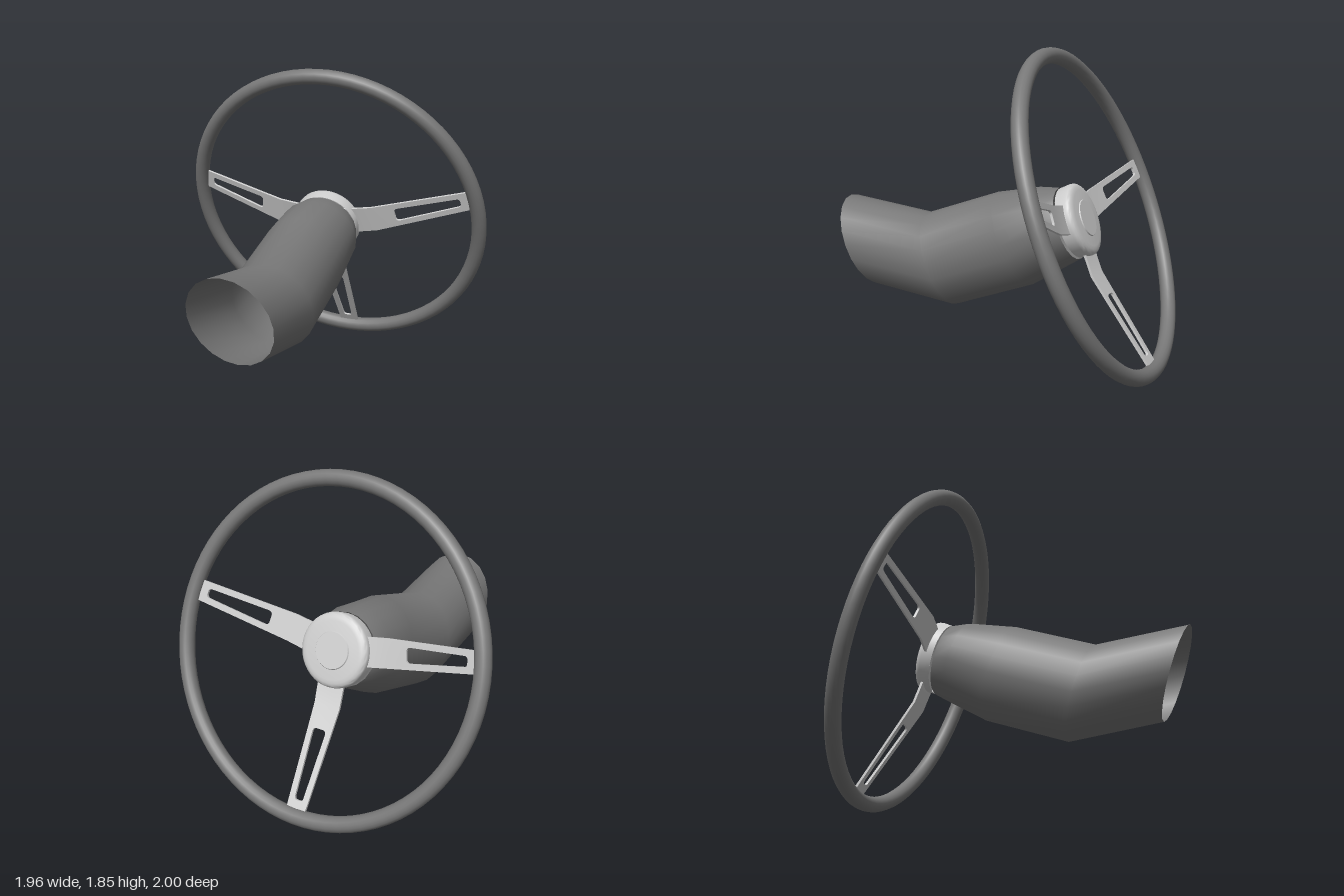
import * as THREE from 'three';
import { mergeGeometries, toCreasedNormals } from 'three/addons/utils/BufferGeometryUtils.js';

const TILT = 0.351;
const DARK = new THREE.MeshStandardMaterial({ color: 0x777777, side: THREE.DoubleSide });
const LIGHT = new THREE.MeshStandardMaterial({ color: 0xcccccc, side: THREE.DoubleSide });

function addPart(parent, name, geometry, material) {
  const mesh = new THREE.Mesh(geometry, material);
  mesh.name = name;
  parent.add(mesh);
  return mesh;
}

// Open tube lofted through elliptical rings: [top z, top y, bottom z, bottom y, half width]
function columnGeometry() {
  const rings = [
    [1.0, 0.935, 0.8, 0.395, 0.25],
    [0.46, 0.86, 0.26, 0.315, 0.25],
    [0.0, 1.015, -0.22, 0.48, 0.25],
    [-0.26, 1.06, -0.44, 0.614, 0.245],
    [-0.375, 1.06, -0.515, 0.66, 0.212],
  ];
  const sides = 20, pos = [], index = [];
  rings.forEach(([tz, ty, bz, by, hw], r) => {
    for (let i = 0; i < sides; i++) {
      const a = (i / sides) * Math.PI * 2, c = Math.cos(a);
      pos.push(hw * Math.sin(a), (ty + by) / 2 + (c * (ty - by)) / 2, (tz + bz) / 2 + (c * (tz - bz)) / 2);
      if (r === 0) continue;
      const j = (i + 1) % sides, p = (r - 1) * sides, q = r * sides;
      index.push(p + i, p + j, q + i, p + j, q + j, q + i);
    }
  });
  const g = new THREE.BufferGeometry();
  g.setAttribute('position', new THREE.Float32BufferAttribute(pos, 3));
  g.setIndex(index);
  g.computeVertexNormals();
  return g;
}

// Slotted spoke along +x: a flat root under the hub, then a blade rising to the rim
function spokeGeometry() {
  const bend = 0.32, low = -0.15, end = 0.91, slope = 0.247;
  const plate = (pts) => new THREE.Shape(pts.map(([x, y]) => new THREE.Vector2(x, y)));
  const root = plate([[0.08, -0.085], [bend, -0.082], [bend, 0.082], [0.08, 0.085]]);
  const blade = plate([[bend, -0.082], [end, -0.06], [end, 0.06], [bend, 0.082]]);

  // Slot with rounded corners, narrowing towards the rim
  const slot = new THREE.Path();
  slot.moveTo(0.475, -0.042);
  slot.lineTo(0.825, -0.028);
  slot.quadraticCurveTo(0.845, -0.027, 0.845, -0.01);
  slot.lineTo(0.845, 0.01);
  slot.quadraticCurveTo(0.845, 0.027, 0.825, 0.028);
  slot.lineTo(0.475, 0.042);
  slot.quadraticCurveTo(0.45, 0.042, 0.45, 0.02);
  slot.lineTo(0.45, -0.02);
  slot.quadraticCurveTo(0.45, -0.042, 0.475, -0.042);
  blade.holes.push(slot);

  const parts = [root, blade].map((shape) => {
    const g = new THREE.ExtrudeGeometry(shape, { depth: 0.014, bevelEnabled: false, curveSegments: 5 });
    const p = g.attributes.position;
    for (let i = 0; i < p.count; i++) {
      p.setZ(i, p.getZ(i) + low + Math.max(0, p.getX(i) - bend) * slope);
    }
    return g;
  });
  return toCreasedNormals(mergeGeometries(parts), 0.5);
}

// Hub shell, open towards the column, with a rounded shoulder
function hubGeometry() {
  const profile = [
    [0.207, -0.188], [0.212, -0.125], [0.209, -0.11], [0.2, -0.1],
    [0.185, -0.093], [0.165, -0.09], [0, -0.088],
  ].map(([r, h]) => new THREE.Vector2(r, h));
  const g = new THREE.LatheGeometry(profile, 40);
  g.rotateX(Math.PI / 2);
  return toCreasedNormals(g, 0.6);
}

export function createModel() {
  const model = new THREE.Group();
  model.name = 'steeringWheelAndColumn';

  addPart(model, 'column', columnGeometry(), DARK);

  // The wheel is built facing local +z, then turned to the back and tilted
  const wheel = new THREE.Group();
  wheel.name = 'wheel';
  wheel.position.set(0, 0.93, -0.632);
  wheel.rotation.set(TILT, Math.PI, 0);
  model.add(wheel);

  addPart(wheel, 'rim', new THREE.TorusGeometry(0.935, 0.046, 16, 80), DARK);
  addPart(wheel, 'hub', hubGeometry(), LIGHT);

  const cap = new THREE.CylinderGeometry(0.103, 0.107, 0.006, 36);
  cap.rotateX(Math.PI / 2);
  addPart(wheel, 'hubCap', cap, LIGHT).position.z = -0.086;

  // Two side spokes slightly above level and one pointing down
  const spoke = spokeGeometry();
  const angles = { rightSpoke: 10, leftSpoke: 170, lowerSpoke: 270 };
  for (const [name, degrees] of Object.entries(angles)) {
    addPart(wheel, name, spoke, LIGHT).rotation.z = THREE.MathUtils.degToRad(degrees);
  }
  return model;
}
